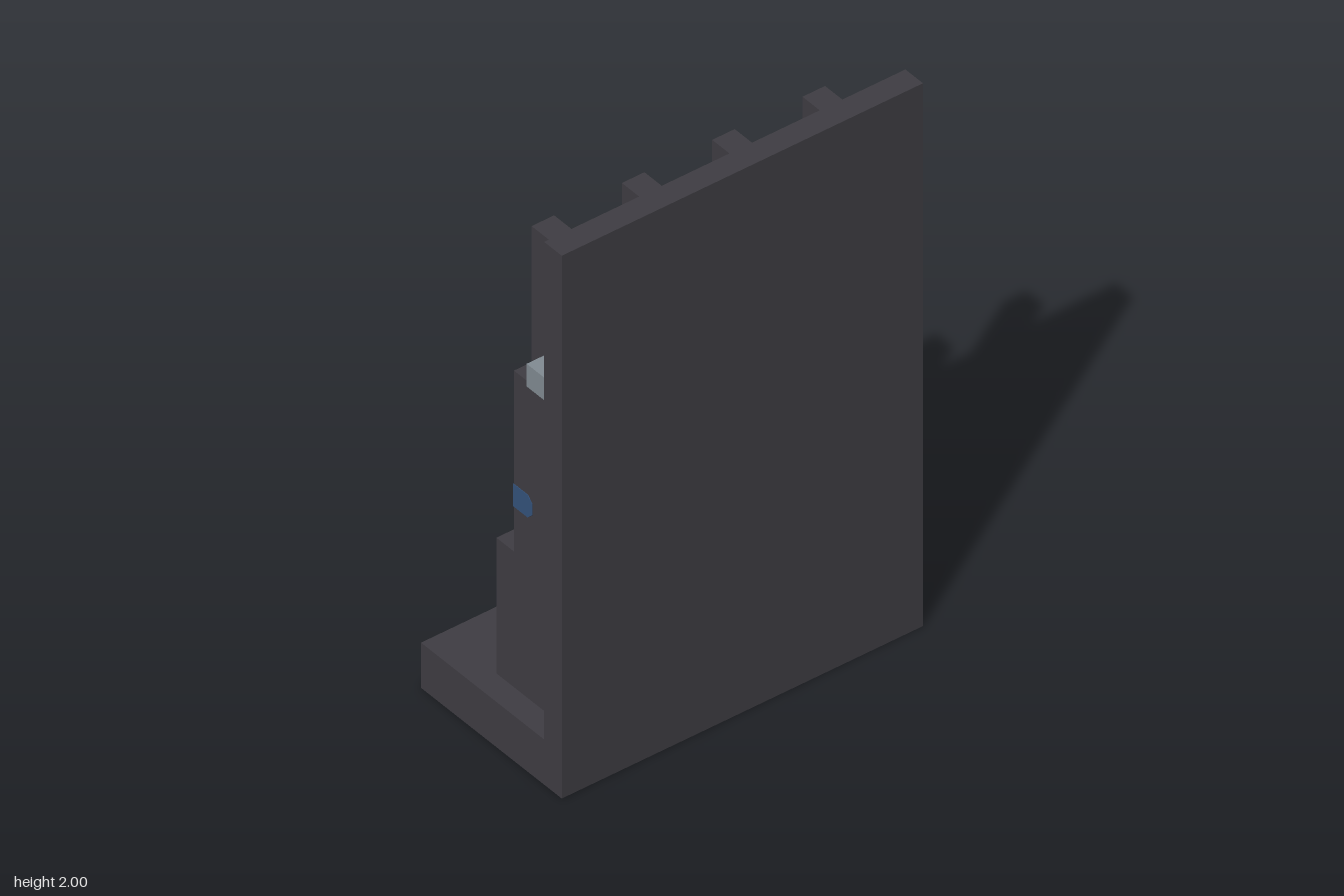
import * as THREE from 'three';

const U = 1 / 12; // design grid unit

export function createModel() {
  const model = new THREE.Group();
  const material = (name, color) => {
    const m = new THREE.MeshStandardMaterial({ color });
    m.name = name;
    return m;
  };
  const charcoal = material('charcoal', 0x3f3d43);
  const steel = material('steel grey', 0x828c93);
  const blue = material('dark blue', 0x34537c);

  // Box between two corners given in grid units
  function box(name, mat, x0, x1, y0, y1, z0, z1, parent = model) {
    const geo = new THREE.BoxGeometry((x1 - x0) * U, (y1 - y0) * U, (z1 - z0) * U);
    const mesh = new THREE.Mesh(geo, mat);
    mesh.position.set((x0 + x1) * U / 2, (y0 + y1) * U / 2, (z0 + z1) * U / 2);
    mesh.name = name;
    parent.add(mesh);
  }

  // Stand and crossbar
  box('base', charcoal, -8, 8, 0, 2, -4, 3);
  box('frontPanel', charcoal, -8, 8, 0, 24, 3, 4);
  box('crossbar', steel, -8, 8, 17, 18, 2, 3);

  // Band profile in the z-y plane, with chamfered front corners
  const band = new THREE.Shape([
    [-0.02, 10], [0.8, 10], [1.05, 10.25], [1.05, 10.75], [0.8, 11], [-0.02, 11],
  ].map(([z, y]) => new THREE.Vector2(z * U, y * U)));
  const bandGeo = new THREE.ExtrudeGeometry(band, { depth: 2.04 * U, bevelEnabled: false });
  bandGeo.rotateY(-Math.PI / 2).translate(2.02 * U, 0, 0);

  // Four stepped towers
  for (const x of [-7, -3, 1, 5]) {
    const tower = new THREE.Group();
    tower.name = 'tower';
    tower.position.x = x * U;
    box('lowerBlock', charcoal, 0, 2, 2, 8, -1, 2, tower);
    box('middleBlock', charcoal, 0, 2, 8, 16, 0, 2, tower);
    box('upperPost', charcoal, 0, 1, 16, 23, 1, 2, tower);
    const stripe = new THREE.Mesh(bandGeo, blue);
    stripe.name = 'blueBand';
    tower.add(stripe);
    model.add(tower);
  }
  return model;
}
